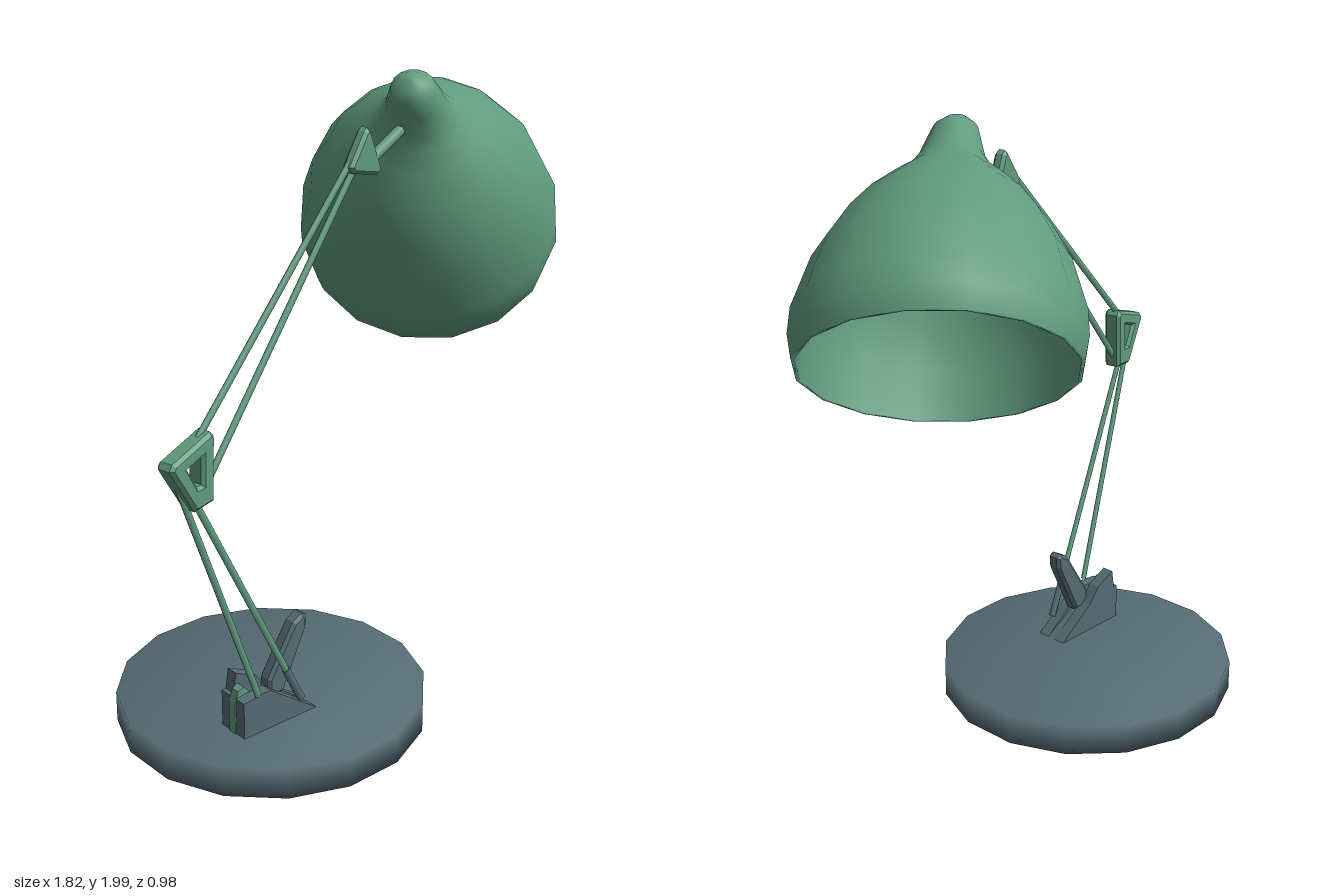
import * as THREE from 'three';
import { mergeVertices } from 'three/addons/utils/BufferGeometryUtils.js';

const mat = (name, color, side = THREE.FrontSide) => {
  const m = new THREE.MeshStandardMaterial({ color, side });
  m.name = name;
  return m;
};

export function createModel() {
  const model = new THREE.Group();
  model.name = 'deskLamp';
  const green = mat('green enamel', 0x609b7f, THREE.DoubleSide);
  const slate = mat('slate metal', 0x566c75);
  const white = mat('bulb white', 0xe6e0e0);
  const V = (x, y, z) => new THREE.Vector3(x, y, z);

  const add = (parent, name, geometry, material) => {
    const mesh = new THREE.Mesh(geometry, material);
    mesh.name = name;
    parent.add(mesh);
    return mesh;
  };

  // Straight bar between two points, flattened in z
  const rod = (name, a, b, r, material = green, flat = 0.65) => {
    const d = b.clone().sub(a);
    const mesh = add(model, name, new THREE.CylinderGeometry(r, r, d.length(), 8), material);
    mesh.position.copy(a).add(b).multiplyScalar(0.5);
    mesh.quaternion.setFromUnitVectors(V(0, 1, 0), d.normalize());
    mesh.scale.z = flat;
  };

  // Side profile extruded along z, centred on the given z
  const plate = (parent, name, pts, depth, z, material, hole, bevel = 0) => {
    const toVec = (p) => new THREE.Vector2(p[0], p[1]);
    const shape = new THREE.Shape(pts.map(toVec));
    if (hole) shape.holes.push(new THREE.Path(hole.map(toVec)));
    const geo = new THREE.ExtrudeGeometry(shape, {
      depth: depth - 2 * bevel, bevelEnabled: bevel > 0, bevelSize: bevel,
      bevelThickness: bevel, bevelOffset: -bevel, bevelSegments: 1,
    });
    geo.translate(0, 0, z - depth / 2 + bevel);
    return add(parent, name, geo, material);
  };

  // Round foot, shaded softly over its rim
  let foot = new THREE.CylinderGeometry(0.49, 0.49, 0.1, 16);
  foot.deleteAttribute('normal');
  foot.deleteAttribute('uv');
  foot = mergeVertices(foot);
  foot.computeVertexNormals();
  add(model, 'base', foot, slate).position.set(-0.27, 0.05, 0);

  // Clamp block: two cheeks, a filler, a lever and a green lug, turned slightly on the foot
  const clamp = new THREE.Group();
  clamp.name = 'clamp';
  clamp.position.set(-0.425, 0, 0.12);
  clamp.rotation.y = -0.21;
  model.add(clamp);
  const sole = [[-0.14, 0.05], [0.14, 0.05], [0.14, 0.1]];
  plate(clamp, 'backCheek',
    [...sole, [0, 0.2], [-0.04, 0.25], [-0.115, 0.285], [-0.125, 0.22], [-0.14, 0.22]], 0.04, -0.035, slate);
  plate(clamp, 'frontCheek', [...sole, [0, 0.2], [-0.04, 0.23], [-0.14, 0.22]], 0.04, 0.035, slate);
  plate(clamp, 'clampFiller', [[-0.1, 0.05], ...sole.slice(1), [0, 0.18], [-0.1, 0.18]], 0.03, 0, slate);
  plate(clamp, 'pivotLug',
    [[-0.144, 0.1], [-0.09, 0.1], [-0.09, 0.23], [-0.11, 0.25], [-0.13, 0.24], [-0.144, 0.2]], 0.03, 0, green);
  plate(clamp, 'lever',
    [[0.04, 0.18], [0.13, 0.37], [0.132, 0.41], [0.115, 0.42], [0.08, 0.4], [-0.02, 0.24], [-0.02, 0.18]],
    0.05, 0, slate, null, 0.01);

  // Lower arm: two parallel bars, the front one held in a slate sleeve
  const frontLow = V(-0.35, 0.15, 0.183);
  const frontHigh = V(-0.8, 0.98, 0.175);
  rod('lowerArmRear', V(-0.52, 0.23, 0.155), V(-0.885, 1.1, 0.175), 0.012);
  rod('lowerArmFront', frontLow, frontHigh, 0.012);
  rod('lowerArmSleeve', frontLow, frontLow.clone().lerp(frontHigh, 0.16), 0.0145, slate, 0.75);

  // Elbow: open four-sided frame
  plate(model, 'elbow',
    [[-0.912, 1.103], [-0.9, 1.083], [-0.82, 0.955], [-0.742, 0.962], [-0.735, 1.15], [-0.75, 1.166], [-0.9, 1.12]],
    0.06, 0.175, green,
    [[-0.845, 1.088], [-0.787, 1.106], [-0.79, 1.025], [-0.808, 1.025]], 0.01);

  // Upper arm: two parallel bars
  rod('upperArmTop', V(-0.78, 1.145, 0.175), V(-0.05, 1.81, 0.168), 0.012);
  rod('upperArmBottom', V(-0.76, 0.99, 0.175), V(-0.06, 1.765, 0.168), 0.012);

  // Wrist bracket and the link to the shade
  plate(model, 'wristBracket',
    [[-0.115, 1.757], [-0.1, 1.738], [0.02, 1.712], [0.038, 1.727], [-0.018, 1.85], [-0.032, 1.86], [-0.045, 1.85]],
    0.04, 0.17, green, null, 0.01);
  rod('shadeLink', V(-0.01, 1.755, 0.17), V(0.16, 1.84, 0.185), 0.017, green, 1);

  // Shade assembly: local +y runs from the mouth up to the knob
  const head = new THREE.Group();
  head.name = 'lampHead';
  head.position.set(0.582, 1.387, -0.012);
  head.quaternion.setFromUnitVectors(V(0, 1, 0), V(-0.57, 0.74, 0.36).normalize());
  model.add(head);

  const outer = [[0.403, 0], [0.416, 0.07], [0.412, 0.15], [0.365, 0.31], [0.305, 0.42], [0.245, 0.5],
    [0.175, 0.57], [0.125, 0.615], [0.097, 0.66], [0.08, 0.715], [0.066, 0.76], [0.036, 0.788], [0, 0.796]];
  const inner = [[0, 0.65], [0.14, 0.57], [0.225, 0.495], [0.285, 0.41], [0.345, 0.3], [0.392, 0.15], [0.392, 0]];
  const profile = [...inner, ...outer].map(([x, y]) => new THREE.Vector2(x, y));
  const shade = new THREE.LatheGeometry(profile, 16);

  // Lean the crown gently backwards, more towards the knob
  const lean = V(0, 0, -0.055).applyQuaternion(head.quaternion.clone().invert());
  const pos = shade.attributes.position;
  const p = new THREE.Vector3();
  for (let i = 0; i < pos.count; i++) {
    p.fromBufferAttribute(pos, i);
    p.addScaledVector(lean, (p.y / 0.8) ** 2);
    pos.setXYZ(i, p.x, p.y, p.z);
  }
  add(head, 'shade', shade, green);

  // Bulb inside the shade
  const bulb = add(head, 'bulb', new THREE.SphereGeometry(0.14, 10, 8), white);
  bulb.position.set(0, 0.465, 0).addScaledVector(lean, 0.4);

  return model;
}
